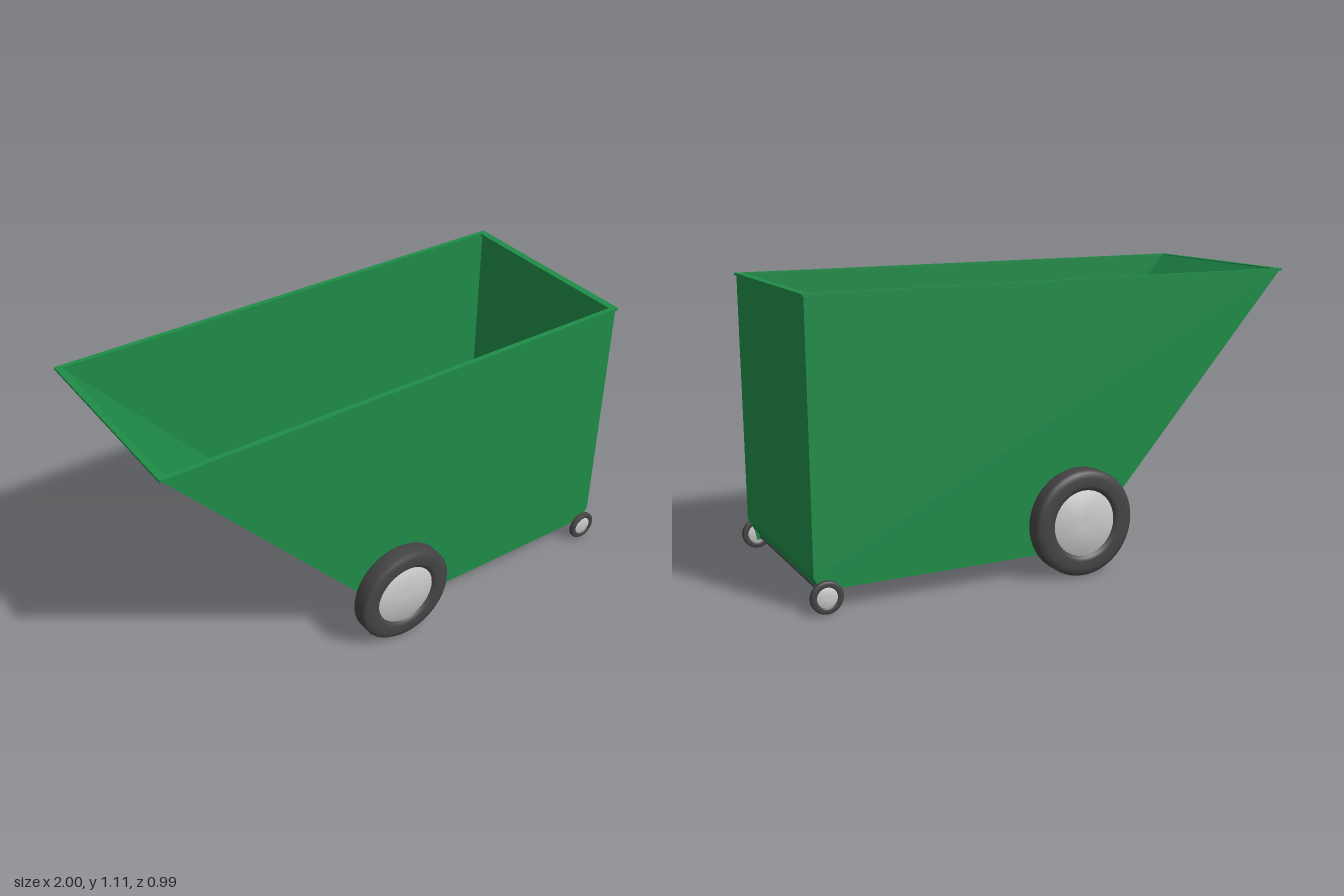
import * as THREE from 'three';

const green = new THREE.MeshStandardMaterial({ color: 0x1e8c48 });
const rubber = new THREE.MeshStandardMaterial({ color: 0x444444 });
const grey = new THREE.MeshStandardMaterial({ color: 0xcccccc });

function part(name, geometry, material, x = 0, y = 0, z = 0) {
  const mesh = new THREE.Mesh(geometry, material);
  mesh.name = name;
  mesh.position.set(x, y, z);
  return mesh;
}

const shapeOf = pts => new THREE.Shape(pts.map(p => new THREE.Vector2(...p)));
const extrude = (shape, depth) => new THREE.ExtrudeGeometry(shape, { depth, bevelEnabled: false });

// Lathe turned so that its axis runs along z; points are [radius, z]
function turned(pts, segments = 48) {
  return new THREE.LatheGeometry(pts.map(p => new THREE.Vector2(...p)), segments).rotateX(Math.PI / 2);
}

// Wheel with rounded tyre shoulders and a dished hub, centred on its own axis
function wheel(name, radius, width, hubRadius) {
  const group = new THREE.Group();
  group.name = name;
  const h = width / 2, b = radius * 0.045, dip = radius * 0.06;
  group.add(part('tyre', turned([
    [hubRadius, -h + dip], [hubRadius * 1.06, -h + dip * 0.3], [hubRadius * 1.15, -h],
    [radius - b * 3, -h], [radius - b, -h + b * 0.5], [radius, -h + b * 1.6],
    [radius, h - b * 1.6], [radius - b, h - b * 0.5], [radius - b * 3, h],
    [hubRadius * 1.15, h], [hubRadius * 1.06, h - dip * 0.3], [hubRadius, h - dip],
  ]), rubber));
  group.add(part('hub', turned([
    [0, -h + dip * 1.6], [hubRadius, -h + dip], [hubRadius, h - dip], [0, h - dip * 1.6],
  ]), grey));
  return group;
}

export function createModel() {
  const cart = new THREE.Group();
  cart.name = 'tippingCart';

  // Hollow tub: sloped front, floor and end wall in one bent sheet
  const outer = [[-0.995, 1.108], [-0.08, 0.08], [0.955, 0.08], [0.98, 0.13], [0.983, 1.108]];
  const inner = [[-0.975, 1.108], [-0.073, 0.094], [0.947, 0.094], [0.967, 0.134], [0.969, 1.108]];
  const tub = new THREE.Group();
  tub.name = 'tub';
  tub.add(part('floorAndEnds', extrude(shapeOf([...outer, ...inner.reverse()]), 0.786), green, 0, 0, -0.393));
  for (const [name, z] of [['frontSide', 0.393], ['backSide', -0.406]]) {
    tub.add(part(name, extrude(shapeOf(outer), 0.013), green, 0, 0, z));
  }

  // Thin rim around the opening
  const rim = shapeOf([[-1, -0.413], [0.99, -0.413], [0.99, 0.413], [-1, 0.413]]);
  rim.holes.push(shapeOf([[-0.975, -0.392], [-0.975, 0.392], [0.96, 0.392], [0.96, -0.392]]));
  tub.add(part('rim', extrude(rim, 0.009).rotateX(-Math.PI / 2), green, 0, 1.103, 0));
  cart.add(tub);

  // Wheels, stubs and axle brackets on both sides
  const bracket = shapeOf([[-0.025, 0.05], [-0.014, -0.012], [0.014, -0.012], [0.025, 0.05]]);
  for (const s of [1, -1]) {
    const side = s > 0 ? 'Front' : 'Back';
    const big = wheel('largeWheel' + side, 0.205, 0.082, 0.127);
    big.position.set(-0.055, 0.205, s * 0.455);
    const small = wheel('smallWheel' + side, 0.06, 0.022, 0.038);
    small.position.set(0.94, 0.06, s * 0.422);
    cart.add(big, small);
    cart.add(part('wheelStub' + side, new THREE.CylinderGeometry(0.02, 0.02, 0.04, 20).rotateX(Math.PI / 2),
      rubber, -0.055, 0.205, s * 0.41));
    cart.add(part('axleBracket' + side, extrude(bracket, 0.012).translate(0, 0, -0.006), green, 0.94, 0.06, s * 0.372));
  }

  // Axle between the small wheels
  cart.add(part('axle', new THREE.CylinderGeometry(0.007, 0.007, 0.83, 16).rotateX(Math.PI / 2), rubber, 0.94, 0.062, 0));
  return cart;
}
